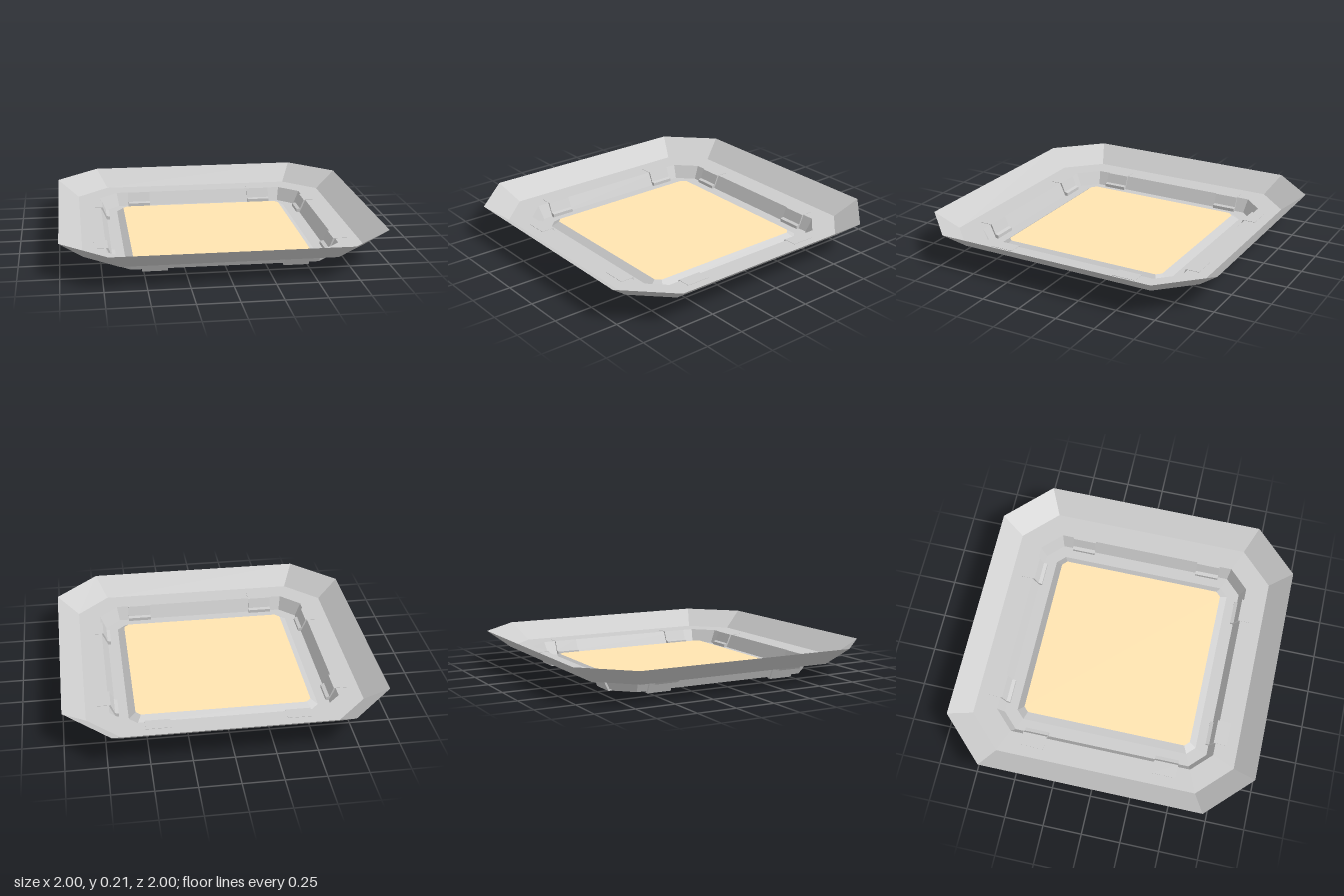
import * as THREE from 'three';

// corners of a chamfered square: half-width a, straight edges end at c
const octagon = (a, c) => [
  [a, c], [c, a], [-c, a], [-a, c], [-a, -c], [-c, -a], [c, -a], [a, -c],
];

// faceted band between two chamfered squares, each given as [half, cornerStart, height]
function band(outer, inner) {
  const P = octagon(outer[0], outer[1]).map(([x, z]) => [x, outer[2], z]);
  const Q = octagon(inner[0], inner[1]).map(([x, z]) => [x, inner[2], z]);
  const pos = [];
  for (let i = 0; i < 8; i++) {
    const j = (i + 1) % 8;
    pos.push(...P[i], ...Q[i], ...P[j], ...Q[i], ...Q[j], ...P[j]);
  }
  const geo = new THREE.BufferGeometry();
  geo.setAttribute('position', new THREE.Float32BufferAttribute(pos, 3));
  geo.computeVertexNormals();
  return geo;
}

export function createModel() {
  const model = new THREE.Group();
  model.name = 'recessedPanelFrame';
  const grey = new THREE.MeshStandardMaterial({ color: 0xcccccc, flatShading: true, side: THREE.DoubleSide });
  const tan = new THREE.MeshStandardMaterial({ color: 0xffe4b0, flatShading: true, side: THREE.DoubleSide });

  const add = (name, geo, mat, parent = model) => {
    const mesh = new THREE.Mesh(geo, mat);
    mesh.name = name;
    parent.add(mesh);
    return mesh;
  };

  // thin sheet frame, stepping inwards from the rim to the panel
  const steps = [
    [1.0, 0.72, 0.21],
    [0.86, 0.65, 0.1],
    [0.715, 0.59, 0.1],
    [0.675, 0.575, 0.013],
    [0.597, 0.545, 0.013],
    [0.553, 0.522, 0.044],
  ];
  const names = ['outerRim', 'flange', 'recessWall', 'recessFloor', 'panelBevel'];
  names.forEach((name, i) => add(name, band(steps[i], steps[i + 1]), grey));

  // flat coloured panel in the middle
  const last = steps[steps.length - 1];
  const outline = new THREE.Shape(octagon(last[0], last[1]).map(([x, z]) => new THREE.Vector2(x, z)));
  const panel = add('panel', new THREE.ShapeGeometry(outline).rotateX(-Math.PI / 2), tan);
  panel.position.y = last[2];

  // hooked clips wrapping the recess wall, two on each side
  const profile = new THREE.Shape([
    [0.79, 0.102], [0.703, 0.102], [0.678, 0.04], [0.655, 0.034], [0.655, 0],
    [0.682, 0], [0.715, 0.07], [0.775, 0.07], [0.79, 0.09],
  ].map(([r, y]) => new THREE.Vector2(r, y)));
  const clipGeo = new THREE.ExtrudeGeometry(profile, { depth: 0.155, bevelEnabled: false });
  const clips = new THREE.Group();
  clips.name = 'clips';
  model.add(clips);
  for (let side = 0; side < 4; side++) {
    const pair = new THREE.Group();
    pair.name = 'clipPair';
    pair.rotation.y = (side * Math.PI) / 2;
    clips.add(pair);
    for (const start of [0.355, -0.51]) add('clip', clipGeo, grey, pair).position.z = start;
  }

  return model;
}
